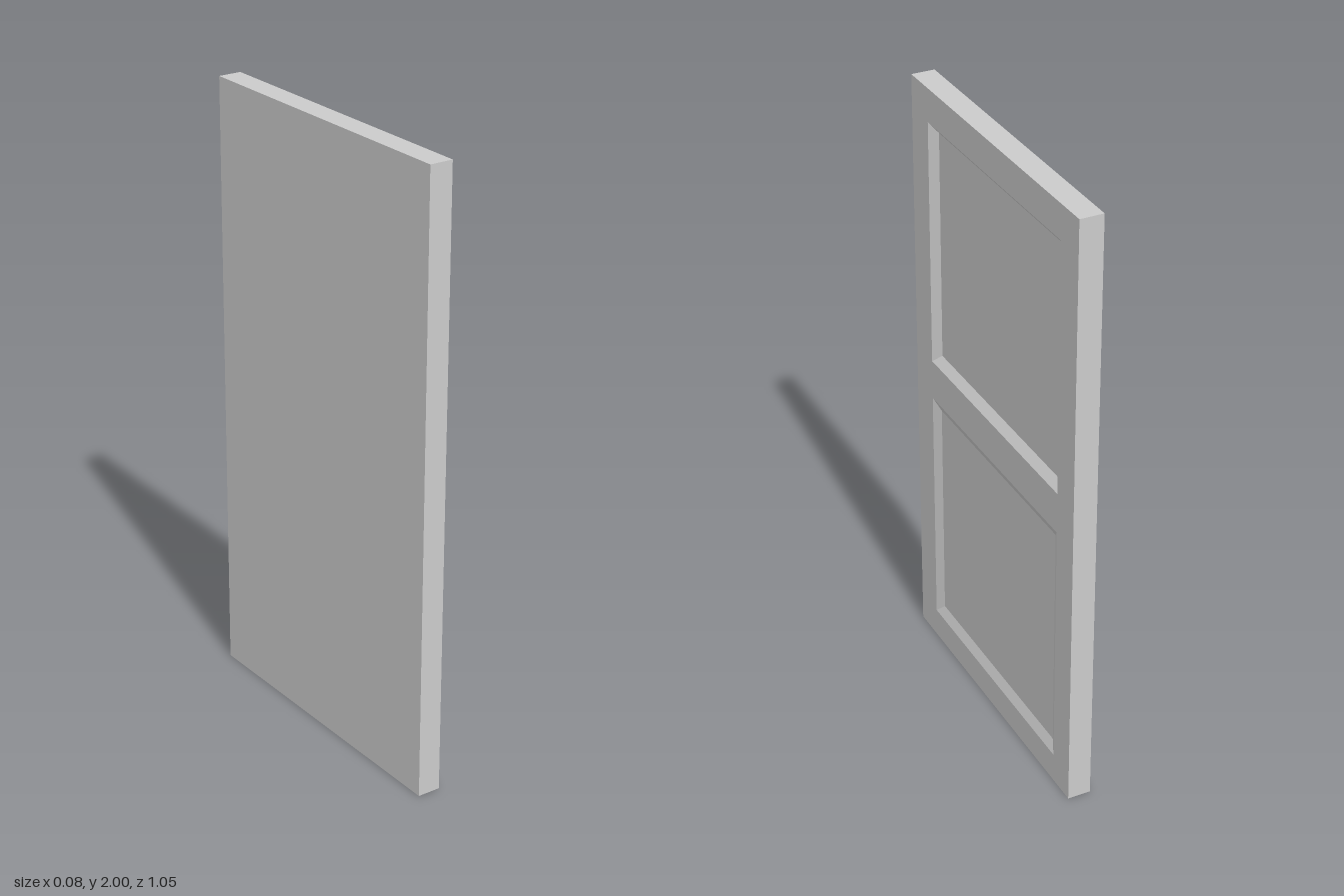
import * as THREE from 'three';

const WIDTH = 1.05, HEIGHT = 2, HALF = 0.038;

// Recessed panels: outer rectangle, bevel width and depth (u runs towards -z)
const PANELS = [
  { name: 'upperPanel', u0: -0.415, u1: 0.425, y0: 1.07, y1: 1.89, bevel: 0.028, depth: 0.023 },
  { name: 'lowerPanel', u0: -0.415, u1: 0.425, y0: 0.10, y1: 0.935, bevel: 0.034, depth: 0.015 },
];

function rectangle(u0, y0, u1, y1, z) {
  return [[u0, y0, z], [u1, y0, z], [u1, y1, z], [u0, y1, z]];
}

// Four sloping sides and a flat floor, sunk behind z = 0
function recessGeometry({ u0, u1, y0, y1, bevel: b, depth }) {
  const outer = rectangle(u0, y0, u1, y1, 0);
  const inner = rectangle(u0 + b, y0 + b, u1 - b, y1 - b, -depth);
  const quads = [inner];
  for (let i = 0; i < 4; i++) {
    const j = (i + 1) % 4;
    quads.push([outer[i], outer[j], inner[j], inner[i]]);
  }
  const points = quads.flatMap(([a, c, d, e]) => [a, c, d, a, d, e]).flat();
  const geometry = new THREE.BufferGeometry();
  geometry.setAttribute('position', new THREE.Float32BufferAttribute(points, 3));
  geometry.computeVertexNormals();
  return geometry;
}

export function createModel() {
  const door = new THREE.Group();
  door.name = 'door';
  const material = new THREE.MeshStandardMaterial({ color: 0xcccccc, flatShading: true });

  function add(name, geometry, parent) {
    const mesh = new THREE.Mesh(geometry, material);
    mesh.name = name;
    parent.add(mesh);
  }

  // Slab: a box left open on its panelled side
  const slab = new THREE.BoxGeometry(HALF * 2, HEIGHT, WIDTH).translate(0, HEIGHT / 2, 0);
  slab.setIndex(Array.from(slab.index.array).slice(6));
  slab.clearGroups();
  add('slab', slab, door);

  // Panelled face, drawn in XY and turned to look along +x
  const face = new THREE.Group();
  face.name = 'panelledFace';
  face.rotation.y = Math.PI / 2;
  face.position.x = HALF;
  door.add(face);

  const toPath = (corners, Type) => new Type(corners.map(([u, y]) => new THREE.Vector2(u, y)));
  const frame = toPath(rectangle(-WIDTH / 2, 0, WIDTH / 2, HEIGHT, 0), THREE.Shape);
  for (const panel of PANELS) {
    frame.holes.push(toPath(rectangle(panel.u0, panel.y0, panel.u1, panel.y1, 0), THREE.Path));
    add(panel.name, recessGeometry(panel), face);
  }
  add('frame', new THREE.ShapeGeometry(frame), face);

  return door;
}
